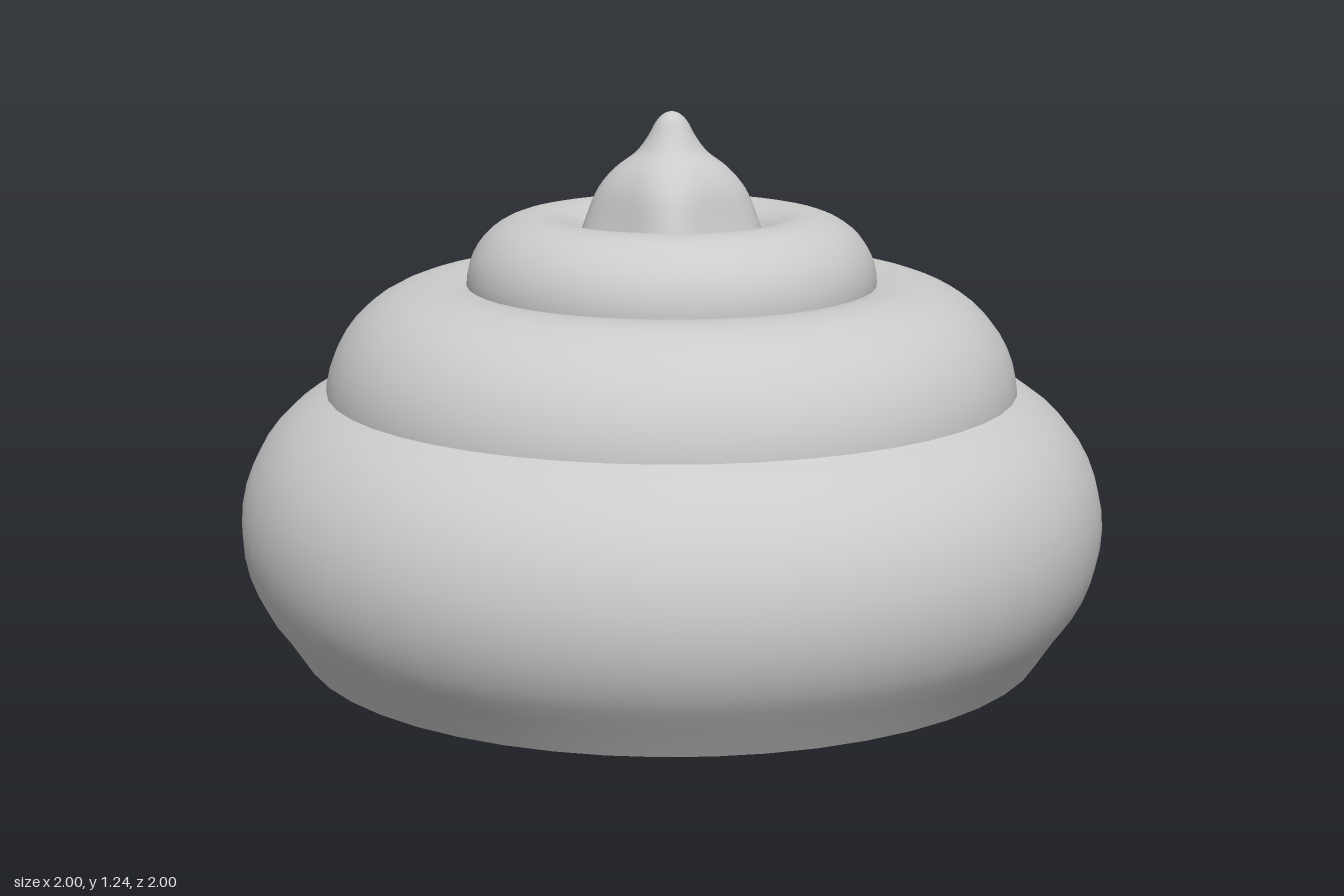
import * as THREE from 'three';
import { mergeVertices } from 'three/addons/utils/BufferGeometryUtils.js';

const material = new THREE.MeshStandardMaterial({ color: 0xcccccc });
const RING = 0.665, TUBE = 0.335, FLAT_Y = -0.3, FLAT_HALF = 0.2;

// One coil: a ring whose tube is cut flat underneath
function makeCoil(name, scale, y) {
  const group = new THREE.Group();
  group.name = name;

  const profile = [new THREE.Vector2(RING + FLAT_HALF, FLAT_Y)];
  const start = THREE.MathUtils.degToRad(-41), steps = 32;
  for (let i = 0; i <= steps; i++) {
    const a = start + (Math.PI - 2 * start) * i / steps;
    profile.push(new THREE.Vector2(RING + TUBE * Math.cos(a), TUBE * Math.sin(a)));
  }
  profile.push(new THREE.Vector2(RING - FLAT_HALF, FLAT_Y));
  const body = new THREE.Mesh(new THREE.LatheGeometry(profile, 48), material);
  body.name = name + 'Body';

  const underside = new THREE.Mesh(new THREE.LatheGeometry([
    new THREE.Vector2(RING - FLAT_HALF, FLAT_Y),
    new THREE.Vector2(RING + FLAT_HALF, FLAT_Y),
  ], 48), material);
  underside.name = name + 'Underside';

  group.add(body, underside);
  group.scale.setScalar(scale);
  group.position.y = y;
  return group;
}

// Pointed tip: square with soft corners at its base, round at its point
function makeTip() {
  const points = [
    [0, 0.8], [0.08, 0.81], [0.14, 0.85], [0.17, 0.9], [0.175, 0.95],
    [0.16, 1.01], [0.142, 1.07], [0.115, 1.115], [0.078, 1.15],
    [0.055, 1.185], [0.036, 1.22], [0.018, 1.238], [0, 1.244],
  ].map(([r, y]) => new THREE.Vector2(r, y));
  const smooth = new THREE.SplineCurve(points).getPoints(48);
  smooth.forEach((p) => { p.x = Math.max(p.x, 0); });
  let geometry = new THREE.LatheGeometry(smooth, 48);
  const pos = geometry.attributes.position;
  for (let i = 0; i < pos.count; i++) {
    const x = pos.getX(i), y = pos.getY(i), z = pos.getZ(i);
    const r = Math.hypot(x, z);
    if (r < 1e-5) continue;
    const n = THREE.MathUtils.lerp(4.5, 2, THREE.MathUtils.smoothstep(y, 1.0, 1.2));
    const k = Math.pow(Math.abs(x / r) ** n + Math.abs(z / r) ** n, -1 / n);
    pos.setXYZ(i, x * k, y, z * k);
  }
  // Weld the seam so the normals stay smooth
  geometry.deleteAttribute('uv');
  geometry.deleteAttribute('normal');
  geometry = mergeVertices(geometry, 1e-5);
  geometry.computeVertexNormals();
  const tip = new THREE.Mesh(geometry, material);
  tip.name = 'tip';
  return tip;
}

export function createModel() {
  const model = new THREE.Group();
  model.name = 'coiledSwirl';
  model.add(
    makeCoil('bottomCoil', 1, 0.3),
    makeCoil('middleCoil', 0.8, 0.587),
    makeCoil('topCoil', 0.473, 0.85),
    makeTip(),
  );
  return model;
}
